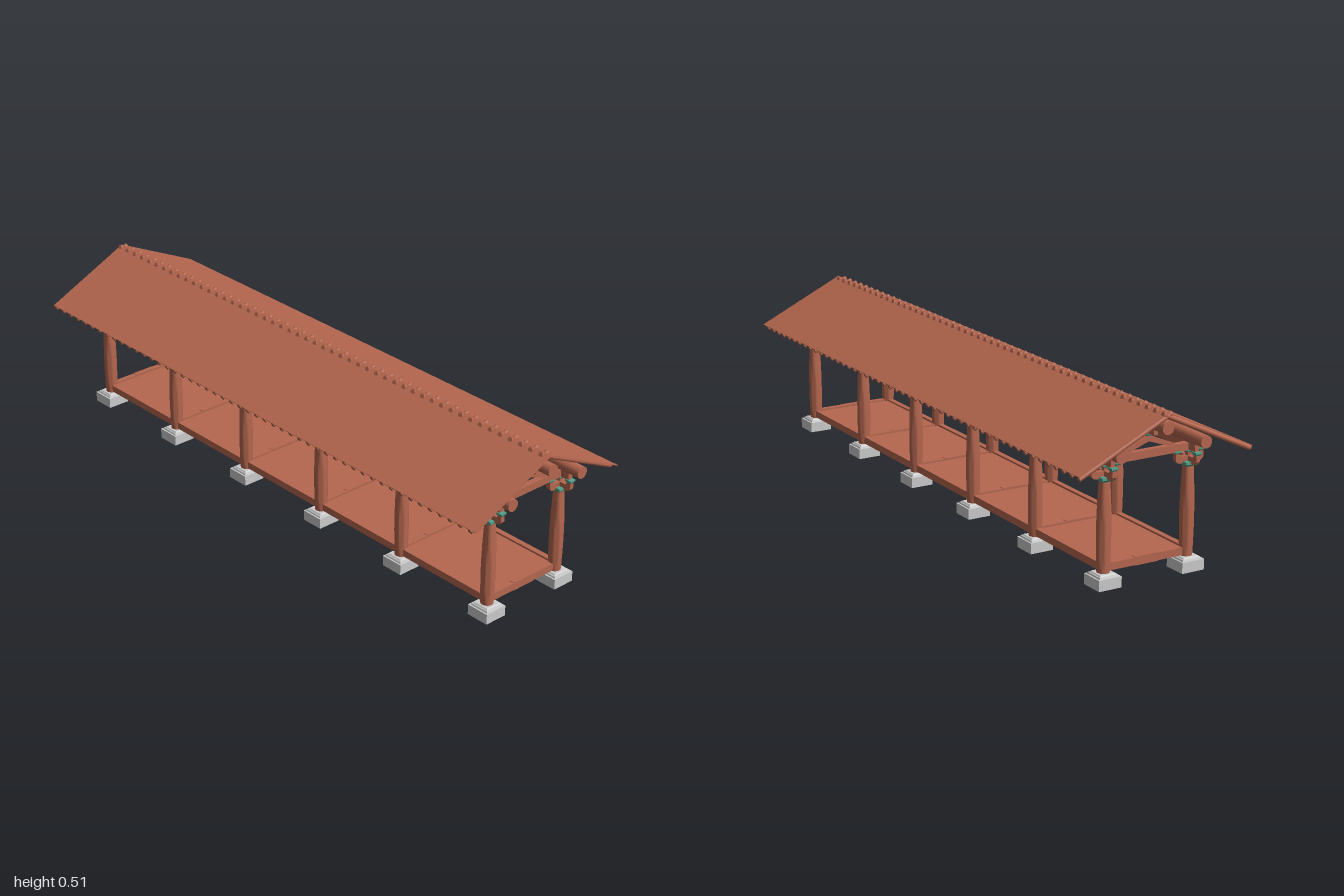
import * as THREE from 'three';
import { toCreasedNormals } from 'three/addons/utils/BufferGeometryUtils.js';

const wood = new THREE.MeshStandardMaterial({ color: 0xb5674f });
const floorWood = new THREE.MeshStandardMaterial({ color: 0xb5674f, side: THREE.DoubleSide });
const teal = new THREE.MeshStandardMaterial({ color: 0x55a088 });
const stone = new THREE.MeshStandardMaterial({ color: 0xcccccc });

const COLS = [-0.9, -0.54, -0.18, 0.18, 0.54, 0.9];
const SIDE = 0.142;

function add(parent, name, geo, mat, x = 0, y = 0, z = 0) {
  const mesh = new THREE.Mesh(geo, mat);
  mesh.name = name;
  mesh.position.set(x, y, z);
  parent.add(mesh);
  return mesh;
}

const box = (w, h, d) => new THREE.BoxGeometry(w, h, d);

// Outline in x/y extruded to a thickness centred on z
function slab(points, depth, hole) {
  const shape = new THREE.Shape(points.map(p => new THREE.Vector2(...p)));
  if (hole) shape.holes.push(new THREE.Path(hole.map(p => new THREE.Vector2(...p))));
  return new THREE.ExtrudeGeometry(shape, { depth, bevelEnabled: false }).translate(0, 0, -depth / 2);
}

// Same, but with the outline lying in the z/y plane
const crossSlab = (points, depth, hole) => slab(points, depth, hole).rotateY(Math.PI / 2);

// Square frustum standing on y = 0
function frustum(top, bottom, h) {
  const g = new THREE.CylinderGeometry(top * Math.SQRT1_2, bottom * Math.SQRT1_2, h, 4);
  return toCreasedNormals(g.rotateY(Math.PI / 4), 0.3).translate(0, h / 2, 0);
}

// Bearing block: tapered foot below a square cap
function bearingBlock(parent, w, h, x, y, z) {
  const g = new THREE.Group();
  g.name = 'bearingBlock';
  add(g, 'blockFoot', frustum(w, w * 0.72, h * 0.45), teal);
  add(g, 'blockCap', box(w, h * 0.55, w), teal, 0, h * 0.725, 0);
  g.position.set(x, y, z);
  parent.add(g);
}

// Round log along x
const log = (r, len) => new THREE.CylinderGeometry(r, r, len, 24).rotateZ(Math.PI / 2);

const armOutline = [
  [-0.048, 0.351], [-0.048, 0.331], [-0.043, 0.324], [-0.036, 0.321], [0.036, 0.321], [0.043, 0.324],
  [0.048, 0.331], [0.048, 0.351], [0.034, 0.351], [0.034, 0.346], [0.028, 0.341],
  [-0.028, 0.341], [-0.034, 0.346], [-0.034, 0.351]
];

const half = 0.038, hole = 0.021;
const square = s => [[-s, -s], [s, -s], [s, s], [-s, s]];

function createPost(x, z) {
  const post = new THREE.Group();
  post.name = 'post';

  // Hollow stone footing with stepped plinth
  add(post, 'footing', slab(square(half), 0.033, square(hole).reverse()).rotateX(-Math.PI / 2), stone, 0, 0.0165);
  add(post, 'footingLid', box(0.074, 0.004, 0.074), stone, 0, 0.031);
  add(post, 'plinthLower', frustum(0.062, 0.066, 0.005), stone, 0, 0.033);
  add(post, 'plinthUpper', frustum(0.05, 0.058, 0.005), stone, 0, 0.037);

  // Swelling column
  const profile = [[0, 0.041], [0.019, 0.041], [0.0205, 0.08], [0.0215, 0.13], [0.0215, 0.18],
    [0.02, 0.24], [0.0165, 0.311], [0, 0.311]].map(p => new THREE.Vector2(...p));
  add(post, 'column', toCreasedNormals(new THREE.LatheGeometry(profile, 24), 0.6), wood);

  // Bracket set: capital block, crossed arms and five small blocks
  bearingBlock(post, 0.045, 0.015, 0, 0.311, 0);
  add(post, 'bracketArmLong', slab(armOutline, 0.0135), wood);
  add(post, 'bracketArmCross', crossSlab(armOutline, 0.0145), wood);
  add(post, 'bracketCore', box(0.0125, 0.015, 0.0125), wood, 0, 0.346, 0);
  for (const [dx, dz] of [[0, 0], [0.041, 0], [-0.041, 0], [0, 0.041], [0, -0.041]])
    bearingBlock(post, 0.021, 0.01, dx, 0.35, dz);

  post.position.set(x, 0, z);
  return post;
}

function createFrame(x) {
  const frame = new THREE.Group();
  frame.name = 'crossFrame';

  // Cross beam with slanted ends
  add(frame, 'crossBeam', crossSlab([[-0.213, 0.357], [0.213, 0.357], [0.19, 0.38], [-0.19, 0.38]], 0.02), wood);

  // Inverted V brace carrying the ridge
  add(frame, 'ridgeBrace', crossSlab([[-0.1, 0.379], [0.1, 0.379], [0.006, 0.42], [-0.006, 0.42]], 0.014,
    [[-0.066, 0.3805], [0, 0.404], [0.066, 0.3805]]), wood);
  bearingBlock(frame, 0.022, 0.012, 0, 0.42, 0);

  // Sill between the two posts, thicker in the middle
  add(frame, 'sill', box(0.018, 0.023, 2 * SIDE), wood, 0, 0.0565, 0);
  add(frame, 'sillMiddle', box(0.018, 0.026, 0.08), wood, 0, 0.0565, 0);

  frame.position.x = x;
  return frame;
}

function createRoof() {
  const roof = new THREE.Group();
  roof.name = 'roof';
  const run = 0.292, rise = 0.138, count = 50, r = 0.0078;
  const len = Math.hypot(run, rise), pitch = Math.atan2(rise, run);
  for (const s of [1, -1]) {
    // Each slope is built along +z from the ridge, then tilted
    const slope = new THREE.Group();
    slope.name = s > 0 ? 'frontSlope' : 'backSlope';
    const tilt = new THREE.Group();
    tilt.name = 'tiltedSlope';
    add(tilt, 'roofBoard', box(1.99, 0.002, len), wood, 0, -0.001, len / 2);
    const rafter = new THREE.CylinderGeometry(r, r, len + 0.012, 12).rotateX(Math.PI / 2);
    const step = (1.99 - 2 * r) / (count - 0.5);
    for (let i = 0; i < count; i++) {
      const x = -0.995 + r + step * (i + (s > 0 ? 0 : 0.5));
      add(tilt, 'rafter', rafter, wood, Math.min(x, 0.995 - r), -0.002 - r, len / 2 - 0.006);
    }
    tilt.rotation.x = pitch;
    tilt.position.y = 0.51;
    slope.add(tilt);
    slope.rotation.y = s > 0 ? 0 : Math.PI;
    slope.position.x = -0.005;
    roof.add(slope);
  }
  return roof;
}

export function createModel() {
  const model = new THREE.Group();
  model.name = 'coveredWalkway';

  for (const x of COLS) {
    for (const s of [1, -1]) model.add(createPost(x, s * SIDE));
    model.add(createFrame(x));
  }

  // Long timbers on both sides
  for (const s of [1, -1]) {
    add(model, 'sideSill', box(1.8, 0.023, 0.018), wood, 0, 0.0565, s * SIDE);
    add(model, 'eavePurlin', log(0.019, 1.97), wood, 0, 0.4, s * SIDE);
    add(model, 'eaveTie', box(1.88, 0.027, 0.014), wood, 0, 0.3725, s * SIDE);
  }

  // Ridge timbers
  add(model, 'ridgePurlin', log(0.019, 2), wood, 0, 0.465, 0);
  add(model, 'ridgeTie', box(1.88, 0.02, 0.014), wood, 0, 0.44, 0);

  // Floor deck
  add(model, 'floor', box(1.8, 0.004, 2 * SIDE), floorWood, 0, 0.06, 0);

  model.add(createRoof());
  return model;
}
